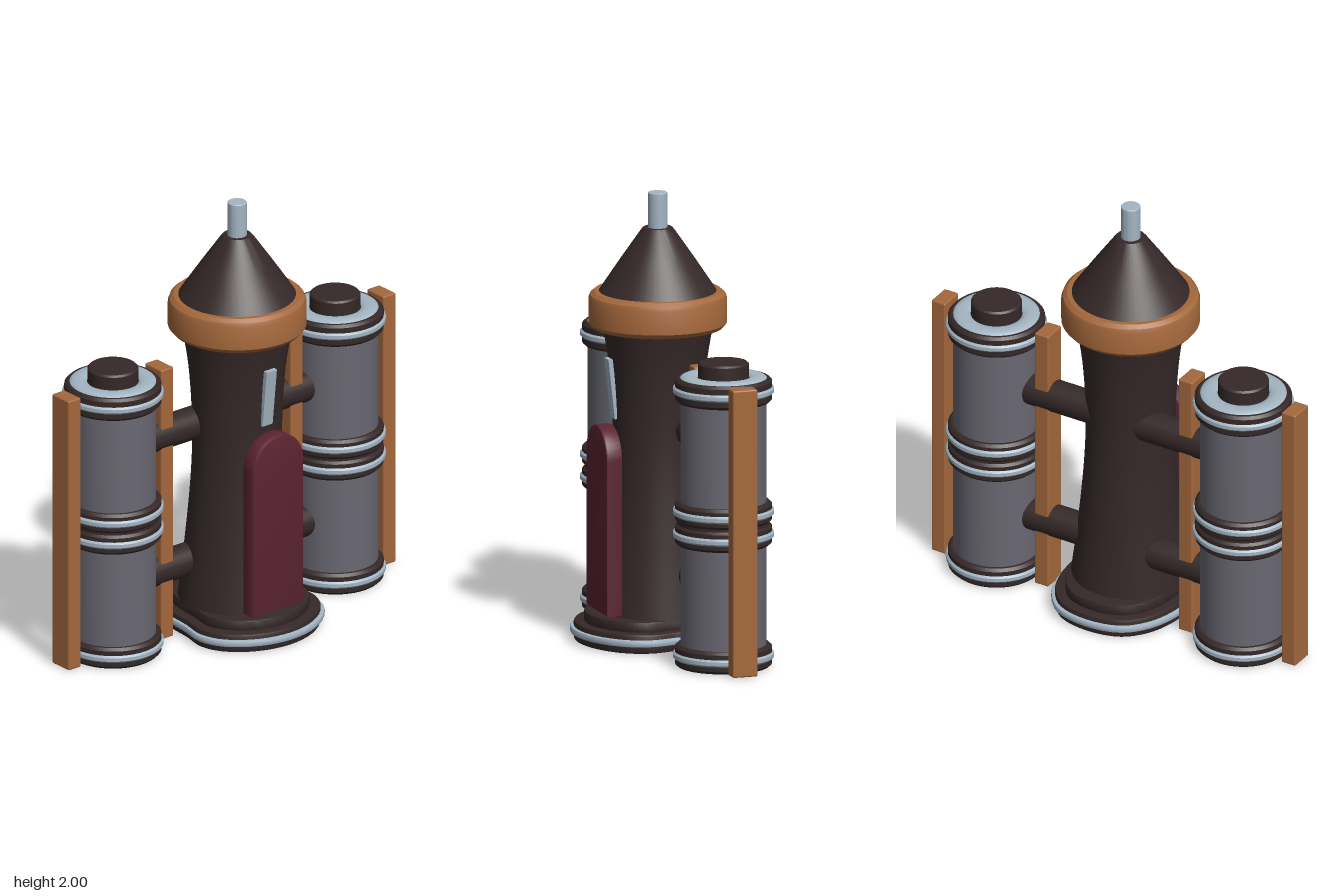
import * as THREE from 'three';
import { toCreasedNormals } from 'three/addons/utils/BufferGeometryUtils.js';
import { RoundedBoxGeometry } from 'three/addons/geometries/RoundedBoxGeometry.js';

const mat = (name, color) => new THREE.MeshStandardMaterial({ name, color });

export function createModel() {
  const dark = mat('dark brown', 0x352828);
  const copper = mat('copper', 0xa5683c);
  const silver = mat('silver', 0xa3b5c3);
  const grey = mat('tank grey', 0x696873);
  const maroon = mat('maroon', 0x5c2432);

  const group = new THREE.Group();
  const add = (name, geo, material, parent = group) => {
    const mesh = new THREE.Mesh(geo, material);
    mesh.name = name;
    parent.add(mesh);
    return mesh;
  };
  const lathe = (pts) => toCreasedNormals(
    new THREE.LatheGeometry(pts.map(([r, y]) => new THREE.Vector2(r, y)), 48), 0.5);
  // Disc with small chamfered rims
  const disc = (r, y0, y1, c = 0.008) => lathe([
    [0, y0], [r - c, y0], [r, y0 + c], [r, y1 - c], [r - c, y1], [0, y1]]);

  // Lobed foot outline, half listed from back to front as [x, z]
  const half = [[0.16, -0.345], [0.25, -0.25], [0.295, -0.13], [0.31, 0.01],
    [0.33, 0.14], [0.285, 0.25], [0.16, 0.345]];
  const outline = [[0, -0.38], ...half, [0, 0.38],
    ...half.map(([x, z]) => [-x, z]).reverse()];
  const curve = new THREE.CatmullRomCurve3(
    outline.map(([x, z]) => new THREE.Vector3(x, -z, 0)), true);
  const footPlate = (name, sx, sz, y0, y1, bevel, material) => {
    const shape = new THREE.Shape(curve.getPoints(64).slice(0, -1)
      .map((p) => new THREE.Vector2(p.x * sx, p.y * sz)).reverse());
    const geo = new THREE.ExtrudeGeometry(shape, {
      depth: y1 - y0 - 2 * bevel, bevelThickness: bevel, bevelSize: bevel,
      bevelOffset: -bevel, bevelSegments: 2 });
    geo.rotateX(-Math.PI / 2).translate(0, y0 + bevel, 0);
    add(name, toCreasedNormals(geo, 0.6), material);
  };
  footPlate('foot', 0.965, 0.97, 0, 0.086, 0.01, dark);
  footPlate('footTrim', 1.015, 1.015, 0.032, 0.062, 0.008, silver);
  footPlate('footStep', 0.82, 0.855, 0.08, 0.132, 0.008, dark);

  // Waisted tower body
  const profile = new THREE.SplineCurve([[0.263, 0.12], [0.23, 0.4], [0.204, 0.7],
    [0.198, 0.95], [0.214, 1.22], [0.246, 1.42]].map(([r, y]) => new THREE.Vector2(r, y)));
  add('towerBody', new THREE.LatheGeometry(profile.getPoints(30), 48), dark);

  // Collar, roof and mast
  add('roofCollar', lathe([[0.2, 1.4], [0.288, 1.4], [0.305, 1.42], [0.305, 1.525],
    [0.298, 1.545], [0.28, 1.56], [0.2, 1.56]]), copper);
  add('roofCone', lathe([[0.262, 1.555], [0.165, 1.70], [0.075, 1.83], [0.064, 1.843], [0, 1.843]]), dark);
  add('mast', disc(0.043, 1.83, 2, 0.003), silver);

  // Arched door
  const arch = new THREE.Shape();
  arch.moveTo(-0.145, 0.14);
  arch.lineTo(0.145, 0.14);
  arch.lineTo(0.145, 0.83);
  arch.absarc(0, 0.83, 0.145, 0, Math.PI, false);
  arch.closePath();
  const doorGeo = new THREE.ExtrudeGeometry(arch, { depth: 0.055, bevelThickness: 0.01,
    bevelSize: 0.01, bevelOffset: -0.01, bevelSegments: 2, curveSegments: 24 });
  add('door', toCreasedNormals(doorGeo.translate(0, 0, 0.22), 0.6), maroon);

  // Narrow window above the door, leaning with the wall
  const slit = add('windowSlit', new THREE.BoxGeometry(0.058, 0.27, 0.03), silver);
  slit.position.set(0, 1.135, 0.208);
  slit.rotation.x = 0.11;

  // Side tanks with posts and struts
  for (const side of [1, -1]) {
    const tank = new THREE.Group();
    tank.name = side > 0 ? 'leftTank' : 'rightTank';
    tank.position.set(side * 0.635, 0, -0.09);
    group.add(tank);

    add('tankShell', disc(0.19, 0.05, 1.25), grey, tank);
    add('tankWaist', disc(0.203, 0.62, 0.67, 0.002), dark, tank);
    for (const [y0, y1] of [[0, 0.098], [0.545, 0.638], [0.648, 0.737], [1.185, 1.29]]) {
      const mid = (y0 + y1) / 2;
      add('tankCollar', disc(0.214, y0, y1, 0.012), dark, tank);
      add('tankBand', disc(0.223, mid - 0.016, mid + 0.016, 0.008), silver, tank);
    }
    const rim = [];
    for (let i = 0; i <= 10; i++) {
      const a = (i / 10) * Math.PI;
      rim.push([0.152 + 0.04 * Math.cos(a), 1.286 + 0.016 * Math.sin(a)]);
    }
    add('tankTopRing', lathe(rim), silver, tank);
    add('tankCap', disc(0.112, 1.27, 1.36), dark, tank);

    for (const x of [-0.265, 0.265]) {
      add('post', new RoundedBoxGeometry(0.072, 1.288, 0.115, 2, 0.008), copper, tank)
        .position.set(x, 0.648, 0);
    }
    for (const y of [0.32, 0.963]) {
      const strut = add('strut', new THREE.CylinderGeometry(0.073, 0.073, 0.36, 24), dark, tank);
      strut.rotation.z = Math.PI / 2;
      strut.position.set(-side * 0.345, y, 0);
    }
  }
  return group;
}
